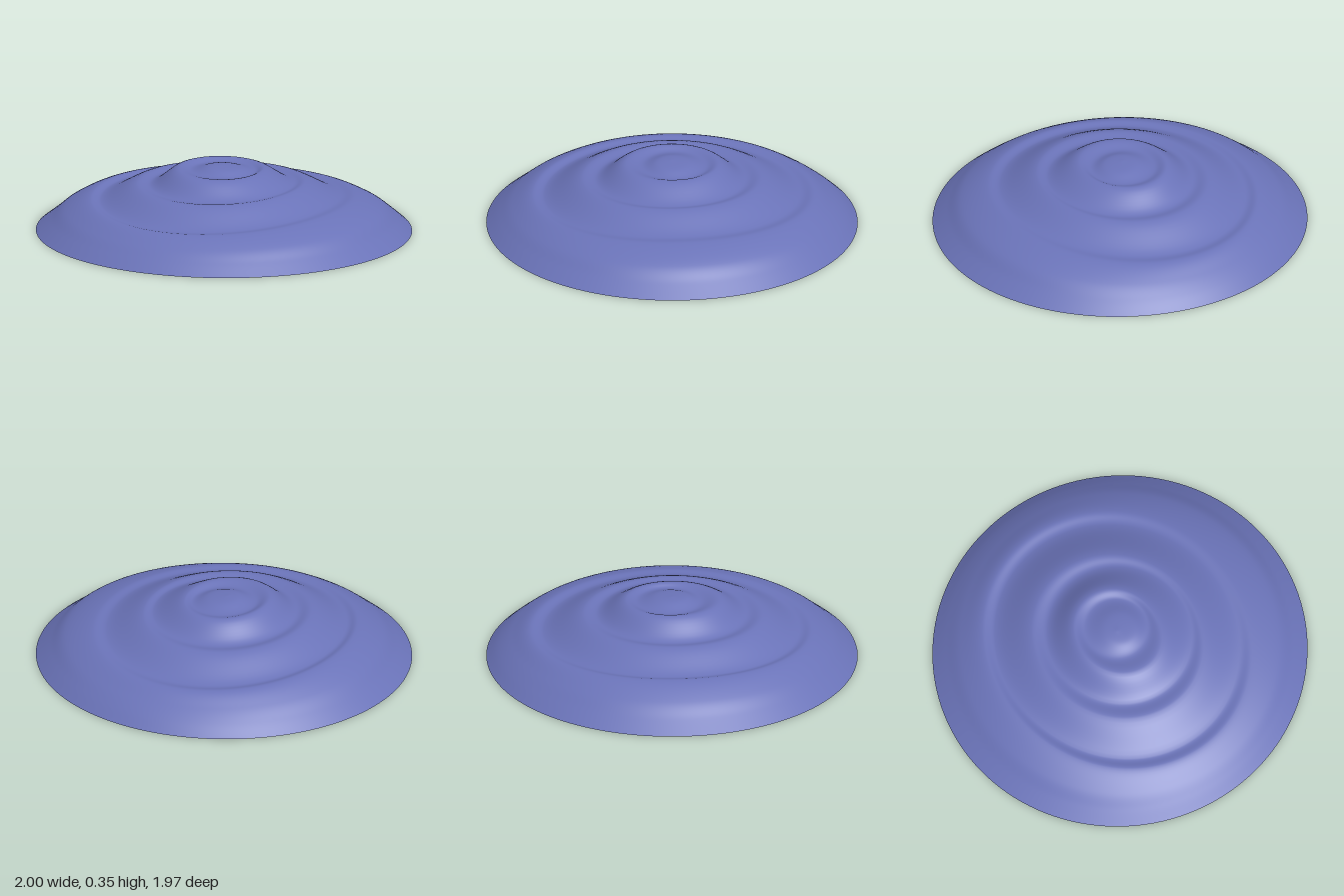
import * as THREE from 'three';

const APEX = new THREE.Vector3(-.02, .355, 0);
const SEGMENTS = 128;
const STEPS = 80;

// Rings from centre to rim. r: mean radius, dx/dz: shift of the ring, oval: extra width along z,
// y: mean height, tilt: rise towards +x, saddle: extra height on the x axis
const RINGS = [
  { r: .083, dx: 0, dz: -.005, oval: 0, y: .347, tilt: -.004, saddle: 0 },           // centre dome
  { r: .167, dx: -.01, dz: -.017, oval: 0, y: .324, tilt: -.004, saddle: 0 },        // inner valley
  { r: .238, dx: -.02, dz: 0, oval: .015, y: .338, tilt: -.005, saddle: .002 },      // inner crest
  { r: .382, dx: -.005, dz: 0, oval: .008, y: .255, tilt: .002, saddle: .004 },      // middle valley
  { r: .46, dx: -.02, dz: 0, oval: .02, y: .26, tilt: 0, saddle: .005 },             // middle crest
  { r: .65, dx: -.02, dz: -.005, oval: .027, y: .171, tilt: .004, saddle: .0135 },   // outer valley
  { r: .72, dx: -.012, dz: -.01, oval: .03, y: .174, tilt: -.002, saddle: .0135 },   // outer crest
  { r: .845, dx: 0, dz: -.004, oval: .004, y: .118, tilt: 0, saddle: .009 },         // shoulder
  { r: .92, dx: 0, dz: -.005, oval: 0, y: .06, tilt: 0, saddle: .003 },              // lower slope
  { r: .992, dx: 0, dz: -.002, oval: -.008, y: 0, tilt: 0, saddle: 0 },              // rim
];

function ringPoint({ r, dx, dz, oval, y, tilt, saddle }, angle) {
  const c = Math.cos(angle), s = Math.sin(angle), c2 = Math.cos(2 * angle);
  const radius = r + dx * c + dz * s - oval * c2;
  return new THREE.Vector3(radius * c, y + tilt * c + saddle * c2, radius * s);
}

function shellGeometry() {
  const positions = APEX.toArray();
  const index = [];
  for (let s = 0; s < SEGMENTS; s++) {
    // Radial profile at this angle, from the apex out to the rim
    const angle = s / SEGMENTS * Math.PI * 2;
    const profile = new THREE.CatmullRomCurve3([APEX, ...RINGS.map(ring => ringPoint(ring, angle))]);
    for (let k = 1; k <= STEPS; k++) positions.push(...profile.getPoint(k / STEPS).toArray());

    // Faces between this profile and the next, wound to face upwards
    const a = 1 + s * STEPS, b = 1 + ((s + 1) % SEGMENTS) * STEPS;
    index.push(0, b, a);
    for (let k = 0; k < STEPS - 1; k++) {
      index.push(a + k, b + k, a + k + 1, b + k, b + k + 1, a + k + 1);
    }
  }
  const geometry = new THREE.BufferGeometry();
  geometry.setAttribute('position', new THREE.Float32BufferAttribute(positions, 3));
  geometry.setIndex(index);
  geometry.computeVertexNormals();
  return geometry;
}

export function createModel() {
  const model = new THREE.Group();
  model.name = 'rippledMound';
  // Open rippled shell
  const shell = new THREE.Mesh(
    shellGeometry(),
    new THREE.MeshStandardMaterial({ color: 0x6a73b8, side: THREE.DoubleSide })
  );
  shell.name = 'shell';
  model.add(shell);
  return model;
}
